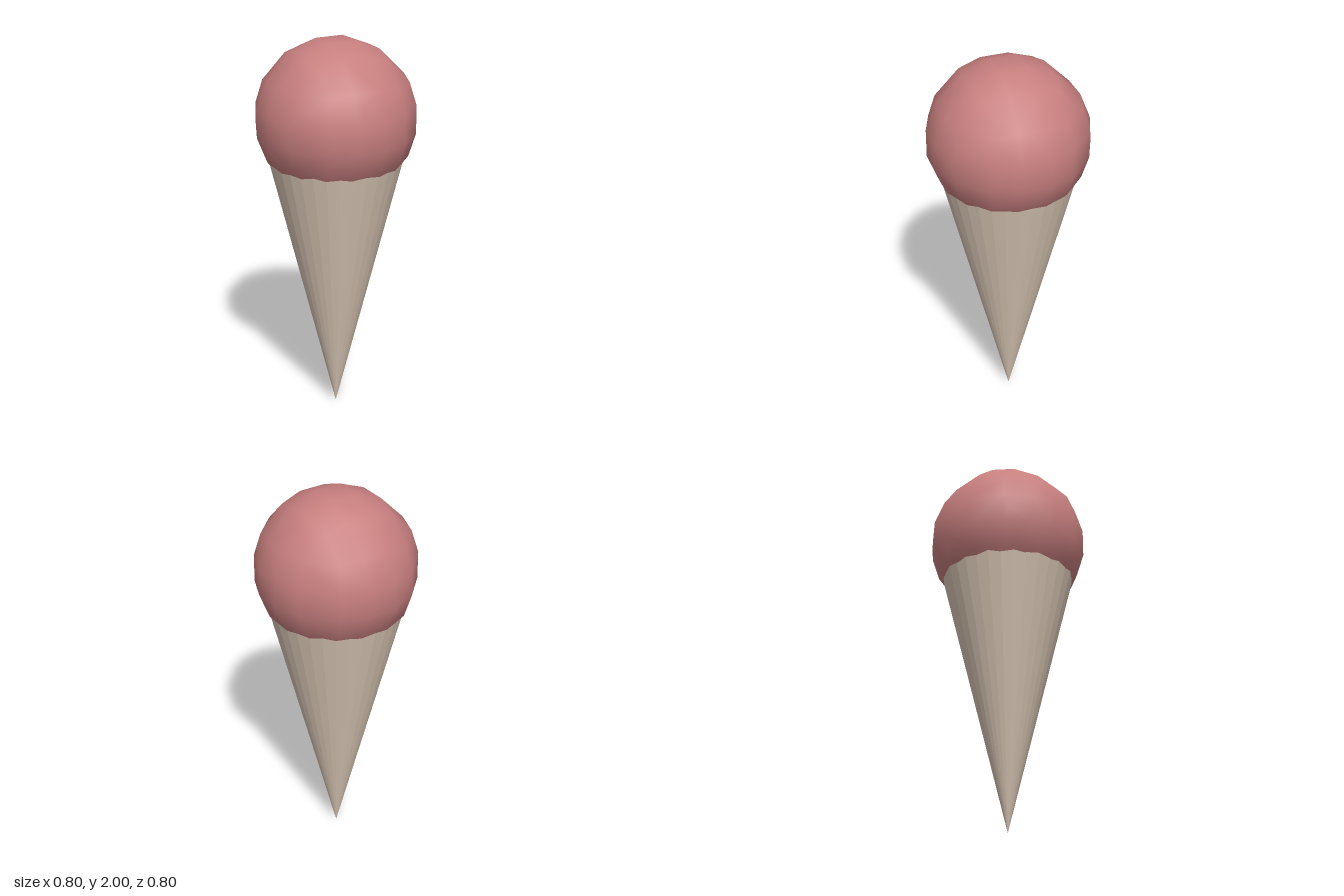
import * as THREE from 'three';
import { ConvexGeometry } from 'three/addons/geometries/ConvexGeometry.js';

// Every signed permutation of a coordinate triple (cube symmetry)
function symmetricPoints([a, b, c]) {
  const orders = [[a, b, c], [b, c, a], [c, a, b], [a, c, b], [b, a, c], [c, b, a]];
  const unique = new Map();
  for (const p of orders) {
    for (let bits = 0; bits < 8; bits++) {
      const q = p.map((v, i) => (v === 0 ? 0 : bits & (1 << i) ? -v : v));
      unique.set(q.join(), new THREE.Vector3(...q));
    }
  }
  return [...unique.values()];
}

export function createModel() {
  const group = new THREE.Group();

  // Waffle cone: narrow facets, its open rim hidden inside the scoop
  const coneHeight = 1.5;
  const cone = new THREE.Mesh(
    new THREE.ConeGeometry(0.37, coneHeight, 32, 1, true).rotateX(Math.PI),
    new THREE.MeshStandardMaterial({ color: 0xd8c6b4, flatShading: true, side: THREE.DoubleSide })
  );
  cone.name = 'cone';
  cone.position.y = coneHeight / 2;
  group.add(cone);

  // Scoop: low-poly ball built from rings around the six axes
  const rings = [
    [0.073, 0.073, 0.4],
    [0.21, 0.073, 0.345],
    [0.187, 0, 0.358],
    [0.19, 0.19, 0.315],
  ];
  const ball = new ConvexGeometry(rings.flatMap(symmetricPoints));

  // Smooth shading: normals point straight out from the centre
  const position = ball.attributes.position;
  const normal = new THREE.Vector3();
  for (let i = 0; i < position.count; i++) {
    normal.fromBufferAttribute(position, i).normalize();
    ball.attributes.normal.setXYZ(i, normal.x, normal.y, normal.z);
  }
  const scoop = new THREE.Mesh(ball, new THREE.MeshStandardMaterial({ color: 0xc87f7f }));
  scoop.name = 'scoop';
  scoop.position.y = 1.6;
  group.add(scoop);

  return group;
}
